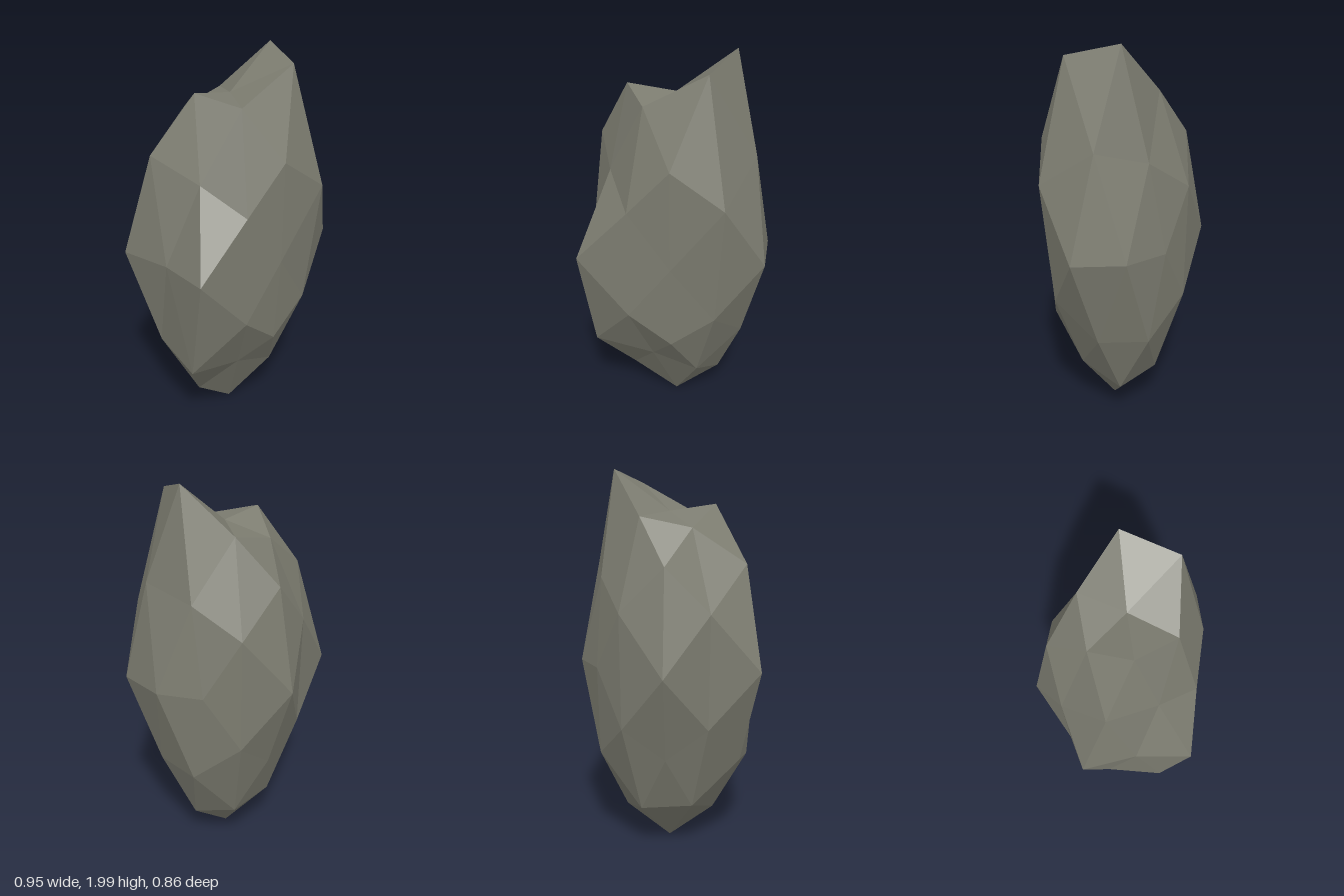
import * as THREE from 'three';

// Radial lengths for each family of directions on a once-divided icosahedron.
// Order of signs in each row: x + then -, inside it y + then -, inside it z + then -
// (axes with a zero component are skipped).
const A = 0.526, B = 0.851, C = 0.309, D = 0.809;
const families = [
  [[A, B, 0], [0.542, 0.447, 0.447, 0.449]],
  [[0, A, B], [0.452, 0.463, 0.403, 0.4]],
  [[B, 0, A], [0.535, 0.42, 0.558, 0.558]],
  [[1, 0, 0], [0.475, 0.44]],
  [[0, 1, 0], [0.364, 0.463]],
  [[0, 0, 1], [0.38, 0.5]],
  [[C, D, 0.5], [0.535, 0.435, 0.405, 0.436, 0.44, 0.404, 0.36, 0.425]],
  [[0.5, C, D], [0.512, 0.449, 0.435, 0.437, 0.42, 0.445, 0.43, 0.432]],
  [[D, 0.5, C], [0.485, 0.422, 0.437, 0.445, 0.388, 0.488, 0.522, 0.465]],
];

// Expand every family into signed directions with their lengths
function makeSpikes() {
  const spikes = [];
  const signs = (v) => (v === 0 ? [1] : [1, -1]);
  for (const [[x, y, z], radii] of families) {
    let i = 0;
    for (const sx of signs(x)) for (const sy of signs(y)) for (const sz of signs(z)) {
      spikes.push({ dir: new THREE.Vector3(x * sx, y * sy, z * sz), r: radii[i++] });
    }
  }
  return spikes;
}

export function createModel() {
  const group = new THREE.Group();
  group.name = 'rock';

  const stone = new THREE.MeshStandardMaterial({ color: 0x7c7c70 });
  stone.name = 'grey stone';

  // Faceted boulder: push each corner in or out, then stretch it upright
  const geometry = new THREE.IcosahedronGeometry(1, 1);
  const spikes = makeSpikes();
  const pos = geometry.attributes.position;
  const v = new THREE.Vector3();
  for (let i = 0; i < pos.count; i++) {
    v.fromBufferAttribute(pos, i);
    const spike = spikes.reduce((best, s) => (s.dir.dot(v) > best.dir.dot(v) ? s : best));
    v.multiplyScalar(spike.r);
    pos.setXYZ(i, v.x, 0.995 + v.y * 2.15, 0.04 + v.z * 0.94);
  }
  geometry.computeVertexNormals(); // unshared corners give flat facets

  const boulder = new THREE.Mesh(geometry, stone);
  boulder.name = 'boulder';
  group.add(boulder);
  return group;
}
